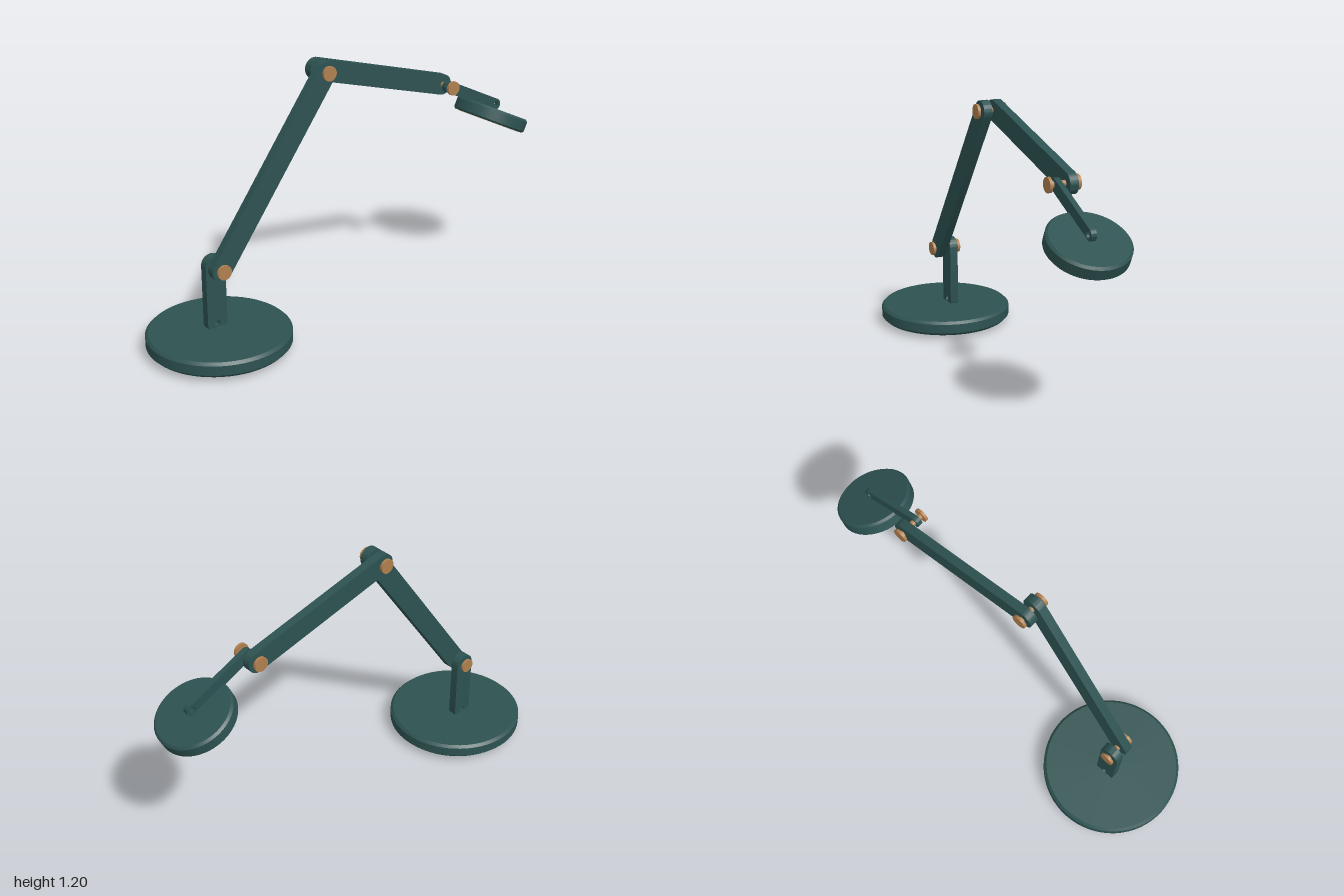
import * as THREE from 'three';
import { toCreasedNormals } from 'three/addons/utils/BufferGeometryUtils.js';

const mat = (name, color) => {
  const m = new THREE.MeshStandardMaterial({ color });
  m.name = name;
  return m;
};

export function createModel() {
  const teal = mat('dark teal paint', 0x2d5251);
  const bronze = mat('bronze', 0xb0804f);
  const rubber = mat('black rubber', 0x282424);
  const glow = mat('warm diffuser', 0xf6e2c6);

  const lamp = new THREE.Group();
  lamp.name = 'deskLamp';

  const add = (name, geometry, material, parent = lamp) => {
    const mesh = new THREE.Mesh(geometry, material);
    mesh.name = name;
    parent.add(mesh);
    return mesh;
  };

  // Disc with chamfered rims, standing on its local y = 0
  const chamferedDisc = (r, h, top, bottom) => toCreasedNormals(new THREE.LatheGeometry([
    [0, 0], [r - bottom, 0], [r, bottom], [r, h - top], [r - top, h], [0, h],
  ].map(([x, y]) => new THREE.Vector2(x, y)), 64), 0.4);

  // Flat bar with round ends and a pivot hole in each, running between two points
  const bar = (name, [ax, ay], [bx, by], z, r, depth) => {
    const length = Math.hypot(bx - ax, by - ay);
    const shape = new THREE.Shape();
    shape.absarc(0, 0, r, Math.PI / 2, Math.PI * 1.5);
    shape.absarc(length, 0, r, -Math.PI / 2, Math.PI / 2);
    for (const x of [0, length]) {
      shape.holes.push(new THREE.Path().absarc(x, 0, 0.014, 0, Math.PI * 2, true));
    }
    const geometry = new THREE.ExtrudeGeometry(shape, { depth, bevelEnabled: false, curveSegments: 16 });
    geometry.translate(0, 0, -depth / 2);
    const mesh = add(name, toCreasedNormals(geometry, 0.5), teal);
    mesh.position.set(ax, ay, z);
    mesh.rotation.z = Math.atan2(by - ay, bx - ax);
  };

  const foot = [-0.68, 0.107];
  const shoulder = [-0.68, 0.378];
  const elbow = [-0.135, 1.157];
  const wrist = [0.555, 0.972];
  const headEnd = [0.845, 0.837];

  // Weighted base on three feet
  add('base', chamferedDisc(0.32, 0.07, 0.012, 0.014), teal).position.set(-0.68, 0.02, 0);
  for (let i = 0; i < 3; i++) {
    const a = (i * Math.PI * 2) / 3;
    add('rubberFoot', new THREE.CylinderGeometry(0.041, 0.041, 0.024, 24), rubber)
      .position.set(-0.68 + 0.21 * Math.cos(a), 0.012, 0.21 * Math.sin(a));
  }

  // Bars on alternating sides of the centre plane
  bar('post', foot, shoulder, -0.03, 0.048, 0.04);
  bar('lowerArm', shoulder, elbow, 0.03, 0.048, 0.04);
  bar('upperArm', elbow, wrist, -0.03, 0.048, 0.04);
  bar('headLink', wrist, headEnd, 0.03, 0.027, 0.025);

  // Pivot pins with a flat cap at each end
  for (const [x, y] of [shoulder, elbow, wrist]) {
    const pin = new THREE.Group();
    pin.name = 'pivotPin';
    pin.position.set(x, y, 0);
    pin.rotation.x = Math.PI / 2;
    lamp.add(pin);
    add('pinShaft', new THREE.CylinderGeometry(0.0138, 0.0138, 0.12, 20), bronze, pin);
    for (const s of [-1, 1]) {
      add('pinCap', new THREE.CylinderGeometry(0.033, 0.033, 0.013, 28), bronze, pin).position.y = s * 0.065;
    }
  }

  // Tilted lamp head with a diffuser underneath
  const head = new THREE.Group();
  head.name = 'lampHead';
  head.position.set(0.825, 0.789, 0.03);
  head.rotation.z = Math.atan2(headEnd[1] - wrist[1], headEnd[0] - wrist[0]);
  lamp.add(head);
  add('headShell', chamferedDisc(0.176, 0.065, 0.01, 0.008), teal, head).position.y = -0.0325;
  add('diffuser', new THREE.CylinderGeometry(0.15, 0.15, 0.006, 48), glow, head).position.y = -0.0325;

  return lamp;
}
